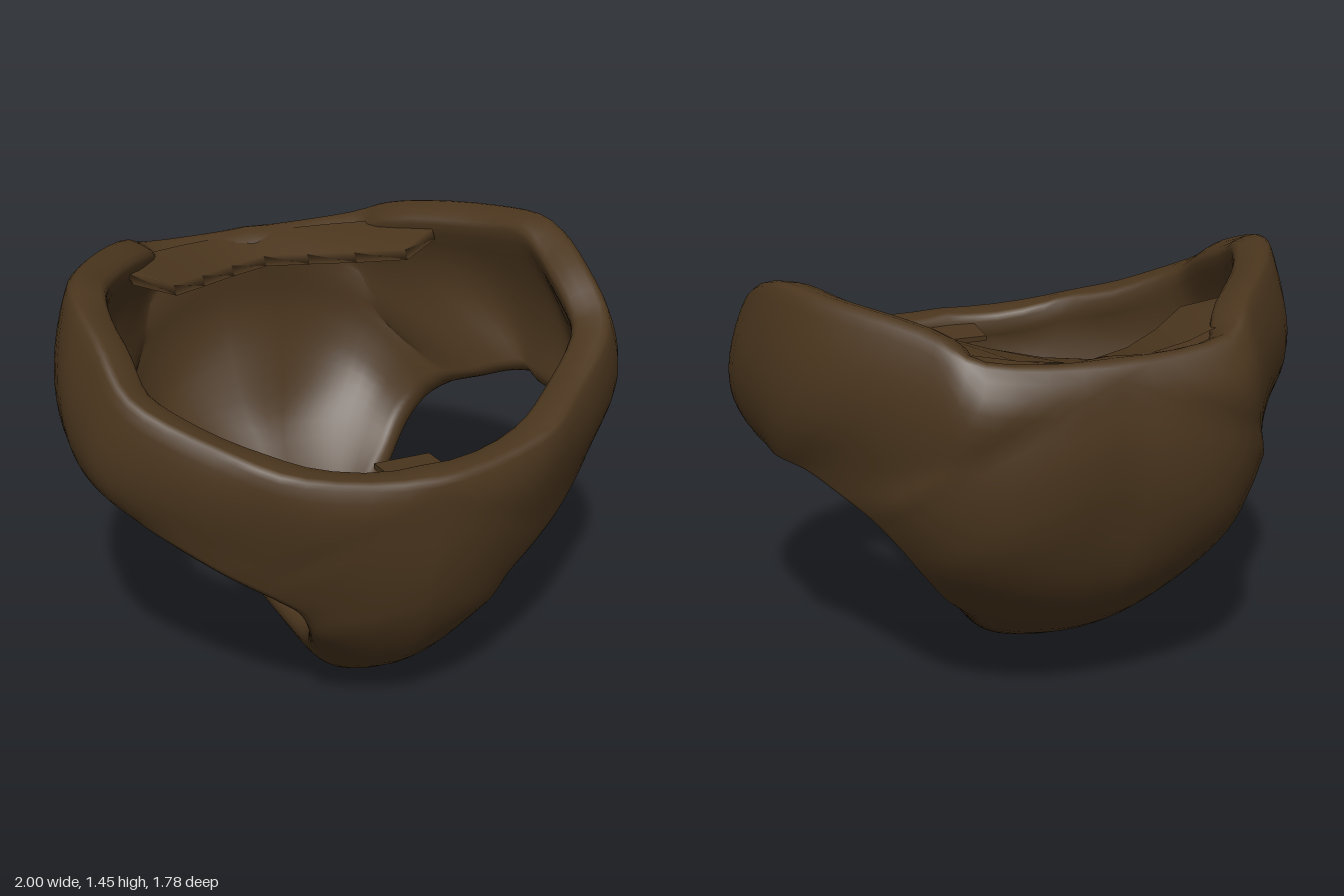
import * as THREE from 'three';
import { mergeVertices, mergeGeometries } from 'three/addons/utils/BufferGeometryUtils.js';

const V = (a) => new THREE.Vector3(...a);
const SUB = 4, NT = 10, ROLL = 7;
// The cloth thickens from leg edge to waist
const thick = (j) => .105 + .04 * j / NT;

// Stations around one leg hole: [centreline or waist, mid panel, leg edge]
const centre = [
  [[0, .95, .885], [.26, .78, .83], [.47, .58, .67]],
  [[0, .65, .855], [.2, .58, .8], [.37, .5, .69]],
  [[0, .4, .77], [.18, .4, .735], [.31, .37, .65]],
  [[0, .18, .6], [.16, .2, .57], [.27, .25, .51]],
  [[0, .025, .33], [.14, .045, .33], [.23, .14, .3]],
  [[0, .01, .05], [.14, .035, .05], [.235, .13, .03]],
  [[0, .09, -.2], [.16, .105, -.2], [.26, .165, -.17]],
  [[0, .23, -.5], [.2, .25, -.48], [.335, .28, -.39]],
  [[0, .45, -.73], [.27, .45, -.69], [.455, .41, -.51]],
  [[0, .75, -.845], [.37, .66, -.8], [.55, .53, -.55]],
  [[0, 1, -.89], [.43, .84, -.83], [.63, .64, -.53]],
  [[0, 1.235, -.865], [.49, .98, -.81], [.7, .72, -.45]],
];
const side = [
  [[.43, 1.265, -.815], [.56, 1.03, -.76], [.78, .785, -.33]],
  [[.6, 1.34, -.63], [.7, 1.08, -.57], [.85, .835, -.23]],
  [[.82, 1.385, -.34], [.91, 1.1, -.29], [.92, .855, -.11]],
  [[.93, 1.39, -.08], [.99, 1.1, .01], [.93, .855, .03]],
  [[.93, 1.32, .18], [.995, 1.05, .2], [.93, .85, .18]],
  [[.89, 1.19, .42], [.94, .98, .38], [.89, .83, .34]],
  [[.67, 1.07, .63], [.71, .92, .6], [.77, .76, .48]],
  [[.42, .985, .8], [.46, .83, .76], [.61, .66, .6]],
];
const stations = [...centre, ...side];
const COUNT = stations.length * SUB;
const CORNER = (centre.length - 1) * SUB;

function curve(points, closed) {
  return new THREE.CatmullRomCurve3(points.map(V), closed, 'catmullrom', 0.5);
}

function halfShell() {
  const centreLine = curve(centre.map((s) => s[0]), false);
  // The waist runs one station past the centreline at both ends, for a smooth join
  const across = ([x, y, z]) => [-x, y, z];
  const waistPoints = [centre.at(-1), ...side, centre[0]].map((s) => s[0]);
  const waist = curve([across(side[0][0]), ...waistPoints, across(side.at(-1)[0])], false);
  const waistAt = (i) => waist.getPoint((1 + (i - CORNER) / SUB) / (waistPoints.length + 1));
  const middle = curve(stations.map((s) => s[1]), true);
  const leg = curve(stations.map((s) => s[2]), true);

  // Outer surface grid, from leg edge to centreline or waist
  const grid = [];
  for (let i = 0; i < COUNT; i++) {
    const O = i <= CORNER ? centreLine.getPoint(i / CORNER) : waistAt(i);
    const M = middle.getPoint(i / COUNT), H = leg.getPoint(i / COUNT);
    const control = M.multiplyScalar(2).addScaledVector(H, -.5).addScaledVector(O, -.5);
    grid.push(new THREE.QuadraticBezierCurve3(H, control, O).getPoints(NT));
  }
  const normalAt = (i, j) => {
    const ds = grid[(i + 1) % COUNT][j].clone().sub(grid[(i + COUNT - 1) % COUNT][j]);
    const dt = grid[i][Math.min(j + 1, NT)].clone().sub(grid[i][Math.max(j - 1, 0)]);
    const n = dt.cross(ds);
    if (j === NT && i <= CORNER) n.x = 0;
    return n.normalize();
  };

  // Each ring: outer skin, waist roll, inner skin, leg roll
  const pos = [], index = [];
  const ringSize = 2 * (NT + 1) + 2 * ROLL;
  for (let i = 0; i < COUNT; i++) {
    const normals = grid[i].map((_, j) => normalAt(i, j));
    const inner = grid[i].map((p, j) => p.clone().addScaledVector(normals[j], -thick(j)));
    // Rounded edge; a power below 1 makes it squarer
    const roll = (j, dir, power) => {
      const n = normals[j], r = thick(j) / 2;
      const e = dir.clone().addScaledVector(n, -dir.dot(n)).normalize();
      const c = grid[i][j].clone().lerp(inner[j], .5);
      return Array.from({ length: ROLL }, (_, k) => {
        const a = (k + 1) / (ROLL + 1) * Math.PI;
        const across = Math.sign(Math.cos(a)) * Math.abs(Math.cos(a)) ** power;
        return c.clone().addScaledVector(n, across * r).addScaledVector(e, Math.sin(a) ** power * r);
      });
    };
    const top = roll(NT, new THREE.Vector3(0, 1, 0), .6);
    const bottom = roll(0, grid[i][0].clone().sub(grid[i][1]), 1).reverse();
    for (const p of [...grid[i], ...top, ...inner.reverse(), ...bottom]) pos.push(Math.max(p.x, 0), p.y, p.z);
  }
  for (let i = 0; i < COUNT; i++) {
    for (let k = 0; k < ringSize; k++) {
      // No rim along the centreline, where the halves join
      if (i < CORNER && k >= NT && k <= NT + ROLL) continue;
      const i2 = (i + 1) % COUNT, k2 = (k + 1) % ringSize;
      const a = i * ringSize + k, b = i * ringSize + k2, c = i2 * ringSize + k2, d = i2 * ringSize + k;
      index.push(a, b, c, a, c, d);
    }
  }
  const geo = new THREE.BufferGeometry();
  geo.setAttribute('position', new THREE.Float32BufferAttribute(pos, 3));
  geo.setIndex(index);
  return geo;
}

function mirrored(geo) {
  const copy = geo.clone().scale(-1, 1, 1);
  copy.setIndex(Array.from(geo.index.array).reverse());
  return copy;
}

// Thin sloping lip inside the back of the waist, notched at both ends
function backLip() {
  const xs = [-.59, -.45, -.3, -.15, 0, .15, .3, .45, .59];
  const pos = [], index = [];
  for (const x of xs) {
    const a = Math.abs(x);
    const back = -.79 + a * a * .65;
    const front = a > .5 ? -.39 : -.61 + Math.pow(a / .45, 1.4) * .28;
    const y = 1.22 + a * a * .28;
    pos.push(x, 1.28 + a * a * .15, back, x, y + .02, front - .03, x, y - .01, front, x, y + .01, back);
  }
  for (let i = 0; i < xs.length - 1; i++) {
    for (let k = 0; k < 3; k++) {
      const a = i * 4 + k;
      index.push(a, a + 1, a + 5, a, a + 5, a + 4);
    }
  }
  const end = (xs.length - 1) * 4;
  index.push(0, 3, 2, 0, 2, 1, end, end + 1, end + 2, end, end + 2, end + 3);
  const geo = new THREE.BufferGeometry();
  geo.setAttribute('position', new THREE.Float32BufferAttribute(pos, 3));
  geo.setIndex(index);
  geo.computeVertexNormals();
  return geo;
}

export function createModel() {
  const group = new THREE.Group();
  group.name = 'briefs';
  const material = new THREE.MeshStandardMaterial({ color: 0x4b361e, side: THREE.DoubleSide });
  const add = (name, geo) => {
    const mesh = new THREE.Mesh(geo, material);
    mesh.name = name;
    group.add(mesh);
    return mesh;
  };

  const half = halfShell();
  const shell = mergeVertices(mergeGeometries([half, mirrored(half)]), 1e-4);
  shell.computeVertexNormals();
  add('shell', shell);
  add('backWaistLip', backLip());

  // Small tab inside the front of the waist
  const tab = add('frontTab', new THREE.BoxGeometry(.2, .02, .18));
  tab.position.set(0, .965, .69);
  tab.rotation.x = -.1;
  return group;
}
